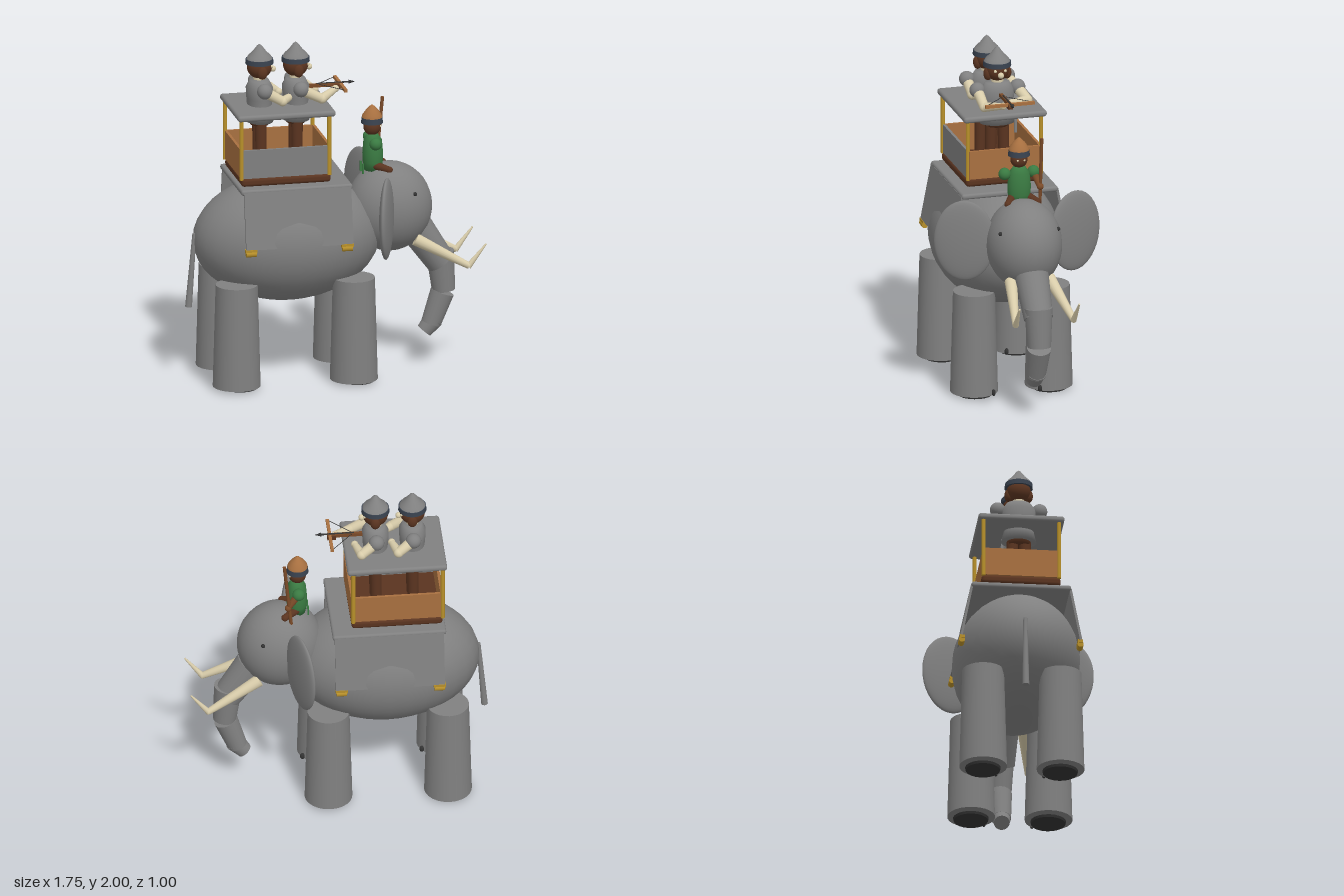
import * as THREE from 'three';
import { RoundedBoxGeometry } from 'three/addons/geometries/RoundedBoxGeometry.js';

export function createModel() {
  const root = new THREE.Group();
  root.name = 'elephantWithHowdah';

  const mat = (name, color) => {
    const m = new THREE.MeshStandardMaterial({ color });
    m.name = name;
    return m;
  };
  const gray = mat('gray', 0x808080);
  const dark = mat('charcoal', 0x333333);
  const ivory = mat('ivory', 0xd8ccaa);
  const gold = mat('gold', 0xb8902a);
  const brown = mat('darkBrown', 0x5a3420);
  const tan = mat('lightBrown', 0xa87040);
  const wood = mat('wood', 0x7a4a28);
  const green = mat('green', 0x3a7a42);
  const navy = mat('navy', 0x39424f);

  const V = (p) => new THREE.Vector3(...p);
  const add = (parent, name, geo, material, pos = [0, 0, 0]) => {
    const mesh = new THREE.Mesh(geo, material);
    mesh.name = name;
    mesh.position.set(...pos);
    parent.add(mesh);
    return mesh;
  };
  const ball = (parent, name, material, pos, r) => {
    const mesh = add(parent, name, new THREE.SphereGeometry(1, 32, 20), material, pos);
    mesh.scale.set(...(Array.isArray(r) ? r : [r, r, r]));
    return mesh;
  };
  const box = (parent, name, material, pos, size) => add(parent, name, new THREE.BoxGeometry(...size), material, pos);
  // Tapered rod from point a to point b
  const rod = (parent, name, material, a, b, ra, rb = ra, sides = 16) => {
    const d = V(b).sub(V(a));
    const mesh = add(parent, name, new THREE.CylinderGeometry(rb, ra, d.length(), sides), material);
    mesh.position.copy(V(a).addScaledVector(d, 0.5));
    mesh.quaternion.setFromUnitVectors(new THREE.Vector3(0, 1, 0), d.normalize());
    return mesh;
  };
  const lathe = (parent, name, material, pts, pos) =>
    add(parent, name, new THREE.LatheGeometry(pts.map((p) => new THREE.Vector2(...p)), 24), material, pos);
  const group = (name) => {
    const g = new THREE.Group();
    g.name = name;
    root.add(g);
    return g;
  };

  // Elephant body and head
  const elephant = group('elephant');
  ball(elephant, 'body', gray, [-0.28, 0.832, 0], [0.55, 0.372, 0.37]);
  ball(elephant, 'head', gray, [0.33, 0.975, 0], [0.25, 0.265, 0.22]);
  rod(elephant, 'tail', gray, [-0.825, 0.88, 0], [-0.86, 0.44, 0], 0.012, 0.02, 10);

  // Trunk: four tapered joints
  const trunk = [
    [[0.49, 0.83, 0], [0.635, 0.616, 0], 0.1, 0.085],
    [[0.63, 0.68, 0], [0.652, 0.447, 0], 0.083, 0.068],
    [[0.645, 0.435, 0], [0.578, 0.25, 0], 0.07, 0.058],
    [[0.595, 0.275, 0], [0.537, 0.205, 0], 0.058, 0.046],
  ];
  for (const [a, b, ra, rb] of trunk) rod(elephant, 'trunkJoint', gray, a, b, ra, rb, 20);

  for (const s of [1, -1]) {
    const ear = ball(elephant, 'ear', gray, [0.24, 0.995, s * 0.332], [0.036, 0.242, 0.178]);
    ear.rotation.y = -s * 0.36;
    ball(elephant, 'eye', dark, [0.445, 1.085, s * 0.174], 0.012);
    rod(elephant, 'tuskBase', ivory, [0.46, 0.795, s * 0.115], [0.765, 0.632, s * 0.175], 0.037, 0.019);
    rod(elephant, 'tuskTip', ivory, [0.76, 0.628, s * 0.174], [0.865, 0.76, s * 0.18], 0.018, 0.005);
    // Legs with sole and toe
    for (const x of [-0.625, 0.07]) {
      add(elephant, 'leg', new THREE.CylinderGeometry(0.122, 0.139, 0.61, 24), gray, [x, 0.32, s * 0.225]);
      add(elephant, 'sole', new THREE.CylinderGeometry(0.105, 0.1, 0.02, 20), dark, [x + 0.02, 0.01, s * 0.225]);
      ball(elephant, 'toe', dark, [x + 0.115, 0.03, s * 0.14], [0.014, 0.02, 0.012]);
    }
  }

  // Saddle blanket with sloping flaps and gold tassels
  const blanket = group('blanket');
  add(blanket, 'blanketTop', new RoundedBoxGeometry(0.66, 0.032, 0.58, 3, 0.014), gray, [-0.28, 1.189, 0]);
  for (const s of [1, -1]) {
    const flap = box(blanket, 'blanketFlap', gray, [-0.278, 1.025, s * 0.317], [0.635, 0.335, 0.014]);
    flap.rotation.x = -s * 0.19;
    for (const x of [-0.565, 0.005]) {
      box(blanket, 'tasselCap', gold, [x, 0.855, s * 0.343], [0.07, 0.02, 0.03]);
      rod(blanket, 'tassel', gold, [x - 0.03, 0.838, s * 0.345], [x + 0.03, 0.838, s * 0.345], 0.018);
    }
  }

  // Howdah: base, walls, posts and canopy
  const howdah = group('howdah');
  add(howdah, 'howdahBase', new RoundedBoxGeometry(0.53, 0.052, 0.46, 3, 0.02), brown, [-0.33, 1.233, 0]);
  box(howdah, 'leftWall', gray, [-0.33, 1.341, 0.215], [0.52, 0.17, 0.016]);
  box(howdah, 'rightWall', tan, [-0.33, 1.341, -0.215], [0.52, 0.17, 0.016]);
  for (const x of [-0.59, -0.07]) {
    box(howdah, 'endWall', tan, [x, 1.341, 0], [0.016, 0.17, 0.43]);
    for (const z of [-0.22, 0.22]) rod(howdah, 'post', gold, [x - 0.005, 1.25, z], [x - 0.005, 1.615, z], 0.012);
  }
  add(howdah, 'canopy', new RoundedBoxGeometry(0.58, 0.036, 0.5, 3, 0.016), gray, [-0.33, 1.623, 0]);

  // Soldiers standing through the canopy; arm paths are relative to the soldier
  const soldier = (x, arms) => {
    const g = group('soldier');
    g.position.x = x;
    for (const s of [1, -1]) {
      rod(g, 'soldierLeg', brown, [0, 1.25, s * 0.042], [0, 1.56, s * 0.036], 0.03, 0.035);
      ball(g, 'shoulder', gray, [0.005, 1.745, s * 0.122], 0.045);
      ball(g, 'soldierEye', ivory, [0.066, 1.868, s * 0.03], 0.009);
      ball(g, 'sideHair', brown, [0.005, 1.84, s * 0.058], [0.03, 0.04, 0.025]);
    }
    const belt = lathe(g, 'trousers', brown, [[0, 1.52], [0.055, 1.52], [0.065, 1.57], [0, 1.57]]);
    const tunic = lathe(g, 'tunic', gray,
      [[0, 1.54], [0.08, 1.54], [0.068, 1.6], [0.075, 1.68], [0.078, 1.74], [0.055, 1.785], [0, 1.795]]);
    tunic.scale.z = 1.3;
    belt.scale.z = 1.2;
    rod(g, 'neck', ivory, [0, 1.78, 0], [0, 1.82, 0], 0.036);
    ball(g, 'soldierHead', brown, [0, 1.862, 0], [0.073, 0.068, 0.07]);
    ball(g, 'nose', ivory, [0.08, 1.845, 0], 0.018);
    rod(g, 'helmetBand', navy, [0, 1.884, 0], [0, 1.912, 0], 0.082, 0.08, 24);
    lathe(g, 'helmet', gray, [[0.077, 1.91], [0.066, 1.93], [0.04, 1.955], [0.014, 1.99], [0, 2]]);
    box(g, 'sheath', gray, [0.075, 1.54, -0.088], [0.014, 0.1, 0.014]);
    for (const [a, b, c] of arms) {
      rod(g, 'upperArm', ivory, a, b, 0.032, 0.028);
      ball(g, 'elbow', ivory, b, 0.029);
      rod(g, 'forearm', ivory, b, c, 0.028, 0.019);
      ball(g, 'hand', ivory, c, 0.021);
    }
  };
  const rightArm = [[0.01, 1.74, -0.12], [0.095, 1.69, -0.155], [0.125, 1.69, -0.05]];
  soldier(-0.44, [rightArm, [[0.01, 1.74, 0.12], [0.11, 1.68, 0.12], [0.18, 1.69, 0.05]]]);
  soldier(-0.225, [rightArm, [[0.01, 1.74, 0.12], [0.13, 1.68, 0.115], [0.23, 1.71, 0.03]]]);

  // Crossbow held by the front soldier
  const bow = group('crossbow');
  box(bow, 'stock', wood, [-0.07, 1.727, 0], [0.25, 0.02, 0.02]);
  box(bow, 'grip', brown, [0.03, 1.715, 0], [0.05, 0.025, 0.026]);
  rod(bow, 'bolt', dark, [-0.1, 1.737, 0], [0.1, 1.737, 0], 0.005, 0.005, 8);
  rod(bow, 'boltHead', dark, [0.09, 1.737, 0], [0.125, 1.737, 0], 0.012, 0.001, 8);
  box(bow, 'bowLimb', tan, [0.04, 1.727, 0], [0.018, 0.018, 0.295]);
  for (const s of [1, -1]) rod(bow, 'bowString', dark, [0.04, 1.73, s * 0.145], [-0.095, 1.735, 0], 0.002, 0.002, 6);

  // Driver seated behind the head
  const driver = group('driver');
  const robe = lathe(driver, 'robe', green,
    [[0, 1.2], [0.05, 1.2], [0.058, 1.25], [0.06, 1.3], [0.053, 1.38], [0.03, 1.415], [0, 1.42]], [0.232, 0, 0]);
  robe.scale.z = 1.15;
  for (const s of [1, -1]) {
    ball(driver, 'sleeve', green, [0.23, 1.375, s * 0.087], 0.036);
    rod(driver, 'driverLeg', brown, [0.235, 1.235, s * 0.04], [0.31, 1.215, s * 0.09], 0.026, 0.02);
    ball(driver, 'driverFoot', brown, [0.31, 1.215, s * 0.09], 0.021);
    ball(driver, 'driverEye', ivory, [0.273, 1.462, s * 0.02], 0.006);
    box(driver, 'robeTail', green, [0.168, 1.215, s * 0.03], [0.01, 0.06, 0.012]);
  }
  rod(driver, 'driverArm', wood, [0.24, 1.365, -0.09], [0.292, 1.3, -0.108], 0.022, 0.017);
  ball(driver, 'driverHand', wood, [0.292, 1.3, -0.11], 0.02);
  rod(driver, 'driverNeck', brown, [0.23, 1.4, 0], [0.23, 1.43, 0], 0.026);
  ball(driver, 'driverHead', brown, [0.228, 1.457, 0], 0.05);
  rod(driver, 'hatBand', navy, [0.228, 1.482, 0], [0.228, 1.515, 0], 0.064, 0.06, 24);
  lathe(driver, 'hat', tan, [[0.06, 1.512], [0.056, 1.53], [0.035, 1.56], [0.01, 1.585], [0, 1.592]], [0.228, 0, 0]);
  rod(driver, 'staff', wood, [0.275, 1.18, -0.112], [0.315, 1.6, -0.112], 0.01);

  return root;
}
